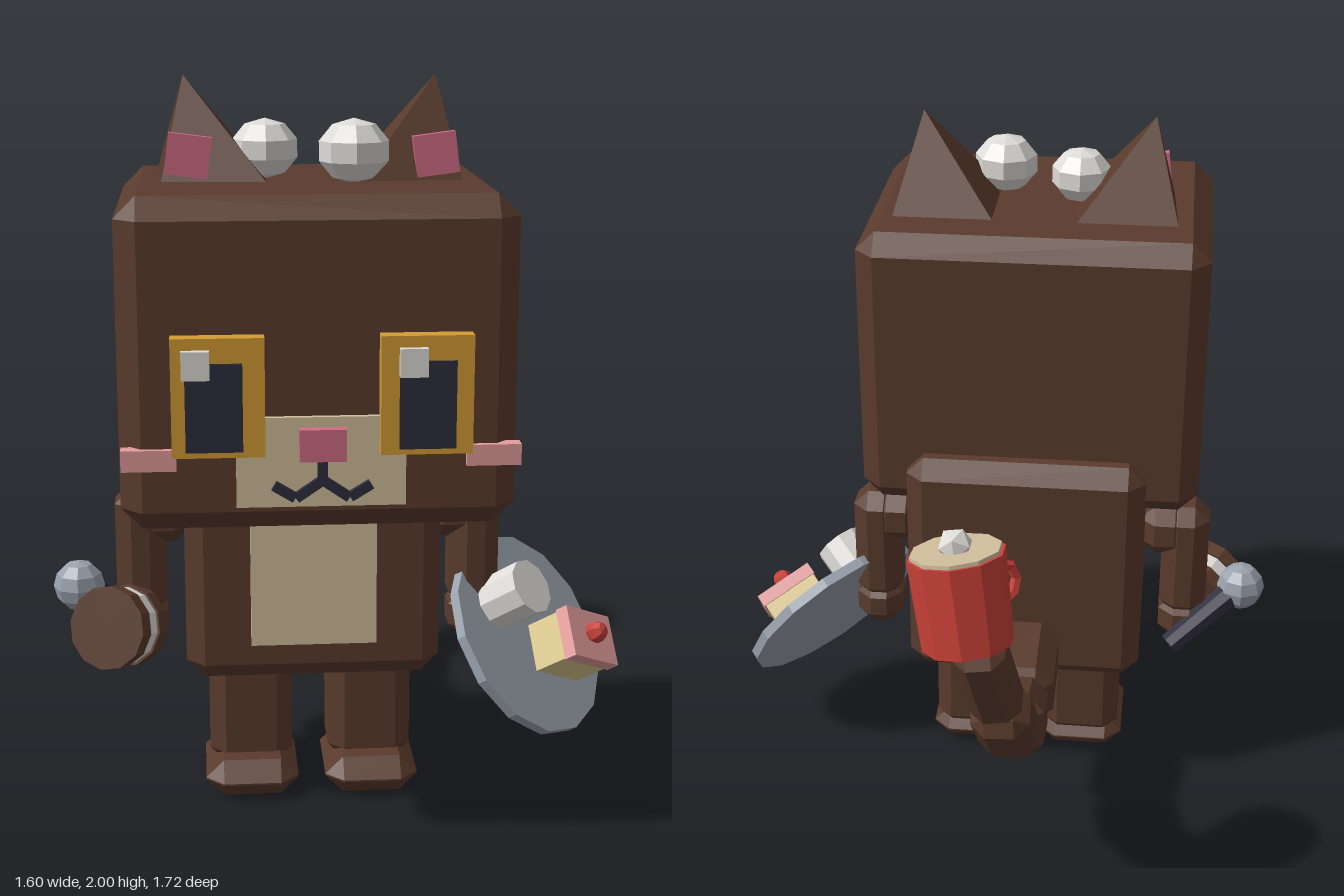
import * as THREE from 'three';
import { ConvexGeometry } from 'three/addons/geometries/ConvexGeometry.js';

const MID = -0.085; // mirror plane of the body

function mat(name, color) {
  const m = new THREE.MeshStandardMaterial({ color });
  m.name = name;
  return m;
}

const V = (x, y, z) => new THREE.Vector3(x, y, z);

// Box with all edges cut at 45 degrees
function chamferBox(w, h, d, c) {
  const pts = [];
  for (const i of [-1, 1]) for (const j of [-1, 1]) for (const k of [-1, 1]) {
    const x = w / 2, y = h / 2, z = d / 2;
    pts.push(V(i * x, j * (y - c), k * (z - c)), V(i * (x - c), j * y, k * (z - c)), V(i * (x - c), j * (y - c), k * z));
  }
  return new ConvexGeometry(pts);
}

export function createModel() {
  const model = new THREE.Group();
  model.name = 'catFigure';
  const brown = mat('brown fur', 0x5a3b2d);
  const amber = mat('amber', 0xd49c34);
  const cream = mat('cream', 0xd2bf9c);
  const rose = mat('rose', 0xcf6c84);
  const blush = mat('blush', 0xe39c9c);
  const navy = mat('navy', 0x2e2d3d);
  const white = mat('off white', 0xdedcd8);
  const grey = mat('blue grey', 0x9aa2ad);
  const red = mat('red', 0xc84038);
  const sponge = mat('sponge yellow', 0xdcc88c);

  // Adds a faceted mesh
  function add(name, geo, material, pos = V(0, 0, 0), parent = model) {
    const g = geo.index ? geo.toNonIndexed() : geo;
    g.computeVertexNormals();
    const m = new THREE.Mesh(g, material);
    m.name = name;
    m.position.copy(pos);
    parent.add(m);
    return m;
  }
  const ranges = (x0, x1, y0, y1, z0, z1) => V((x0 + x1) / 2, (y0 + y1) / 2, (z0 + z1) / 2);
  const box = (name, material, x0, x1, y0, y1, z0, z1) =>
    add(name, new THREE.BoxGeometry(x1 - x0, y1 - y0, z1 - z0), material, ranges(x0, x1, y0, y1, z0, z1));
  const block = (name, c, x0, x1, y0, y1, z0, z1) =>
    add(name, chamferBox(x1 - x0, y1 - y0, z1 - z0, c), brown, ranges(x0, x1, y0, y1, z0, z1));
  // Stands a y-aligned object on the line from a to b
  function along(obj, a, b) {
    obj.position.copy(a).lerp(b, 0.5);
    obj.quaternion.setFromUnitVectors(V(0, 1, 0), b.clone().sub(a).normalize());
    return obj;
  }

  // Head, body and belly
  block('head', 0.055, -0.58, 0.40, 0.915, 1.74, 0.005, 0.80);
  block('body', 0.05, -0.43, 0.26, 0.385, 1.09, -0.075, 0.47);
  box('belly', cream, -0.255, 0.08, 0.505, 0.94, 0.46, 0.51);

  // Muzzle, nose and mouth
  box('muzzle', cream, -0.295, 0.12, 0.985, 1.21, 0.79, 0.815);
  box('nose', rose, -0.142, -0.028, 1.105, 1.185, 0.80, 0.845);
  box('mouthLine', navy, MID - 0.012, MID + 0.012, 1.04, 1.11, 0.81, 0.83);

  for (const s of [-1, 1]) {
    const X = (x) => MID + s * x;

    // Eyes and cheeks
    const side = s > 0 ? 'left' : 'right';
    const plate = (name, material, cx, w, y0, y1, z0, z1) => box(name, material, cx - w / 2, cx + w / 2, y0, y1, z0, z1);
    plate(side + 'Eye', amber, X(0.252), 0.225, 1.12, 1.413, 0.79, 0.845);
    plate(side + 'Pupil', navy, s > 0 ? 0.168 : -0.347, 0.138, 1.135, 1.352, 0.84, 0.852);
    plate(side + 'EyeGlint', white, s > 0 ? 0.132 : -0.39, 0.068, 1.315, 1.385, 0.84, 0.865);
    plate(side + 'Cheek', blush, X(0.422), 0.135, 1.08, 1.133, 0.775, 0.815);

    // Mouth curves
    const lip = add('lip', new THREE.BoxGeometry(0.08, 0.024, 0.02), navy, V(X(0.032), 1.032, 0.82));
    lip.rotation.z = -s * 0.6;
    const corner = add('mouthCorner', new THREE.BoxGeometry(0.06, 0.024, 0.02), navy, V(X(0.093), 1.026, 0.82));
    corner.rotation.z = s * 0.55;

    // Ears
    add(side + 'Ear', new ConvexGeometry([
      V(X(0.40), 1.735, 0.18), V(X(0.115), 1.735, 0.18), V(X(0.115), 1.735, 0.49),
      V(X(0.385), 1.735, 0.46), V(X(0.325), 2.0, 0.34)]), brown);
    const inner = add(side + 'InnerEar', new THREE.BoxGeometry(0.11, 0.105, 0.025), rose, V(X(0.315), 1.805, 0.455));
    inner.rotation.z = s * 0.13;

    // Legs and feet
    const lx = X(0.168);
    block(side + 'Leg', 0.045, lx - 0.117, lx + 0.117, 0.06, 0.43, 0.08, 0.31);
    block(side + 'Foot', 0.05, lx - 0.13, lx + 0.13, 0, 0.105, 0.08, 0.41);

    // Shoulders and arms
    add(side + 'Shoulder', chamferBox(0.15, 0.16, 0.16, 0.045), brown, V(X(0.405), 0.79, 0.19));
    add(side + 'Arm', chamferBox(0.14, 0.37, 0.165, 0.045), brown, V(X(0.468), 0.685, 0.193));
    add(side + 'Paw', chamferBox(0.14, 0.15, 0.17, 0.045), brown, V(X(0.468), 0.48, 0.20));
  }

  // Pompoms on the head
  for (const [x, z, r] of [[-0.203, 0.375, 0.088], [0.02, 0.46, 0.094]])
    add('pompom', new THREE.SphereGeometry(r, 8, 5).scale(1, 0.88, 1), white, V(x, 1.815, z));

  // Tail of tapering segments
  const tail = [V(-0.09, 0.49, -0.03), V(-0.09, 0.455, -0.305), V(-0.09, 0.515, -0.52),
    V(-0.075, 0.69, -0.65), V(-0.03, 0.94, -0.735)];
  [0.205, 0.185, 0.16, 0.135].forEach((w, i) => {
    const len = tail[i].distanceTo(tail[i + 1]) + 0.025;
    along(add('tailSegment', chamferBox(w, len, w, w * 0.25), brown), tail[i], tail[i + 1]);
  });

  // Cup on the tail tip
  const cup = new THREE.Group();
  cup.name = 'cup';
  model.add(cup);
  along(cup, V(-0.005, 0.94, -0.735), V(0.03, 1.19, -0.69));
  add('cupBody', new THREE.CylinderGeometry(0.128, 0.12, 0.245, 10), red, V(0, 0, 0), cup);
  add('cupFoam', new THREE.CylinderGeometry(0.119, 0.119, 0.03, 10), cream, V(0, 0.118, 0), cup);
  add('cupTopping', new THREE.IcosahedronGeometry(0.047, 0), white, V(0, 0.145, 0), cup);
  const handle = add('cupHandle', new THREE.TorusGeometry(0.05, 0.015, 5, 8), red, V(-0.09, 0, 0.09), cup);
  handle.rotation.y = Math.PI / 4;

  // Serving plate, tilted outward
  const tray = new THREE.Group();
  tray.name = 'servingPlate';
  const up = V(0.64, 0.55, 0.53).normalize();
  const across = V(0.74, -0.41, -0.52).projectOnPlane(up).normalize();
  tray.quaternion.setFromRotationMatrix(new THREE.Matrix4().makeBasis(across, up, across.clone().cross(up)));
  tray.position.set(0.545, 0.405, 0.215);
  model.add(tray);
  add('plate', new THREE.CylinderGeometry(0.3, 0.3, 0.03, 14), grey, V(0, 0, 0), tray);
  add('marshmallow', new THREE.CylinderGeometry(0.08, 0.08, 0.135, 10), white, V(-0.13, 0.08, -0.064), tray);
  add('cakeSponge', new THREE.BoxGeometry(0.18, 0.12, 0.14), sponge, V(0.085, 0.07, 0.052), tray);
  add('cakeIcing', new THREE.BoxGeometry(0.19, 0.04, 0.15), blush, V(0.085, 0.145, 0.052), tray);
  add('cherry', new THREE.SphereGeometry(0.032, 7, 5), red, V(0.08, 0.185, 0.05), tray);

  // Sandwich biscuit in the other paw
  const biscuit = new THREE.Group();
  biscuit.name = 'biscuit';
  model.add(biscuit);
  const c = V(-0.615, 0.505, 0.335);
  along(biscuit, c, c.clone().add(V(-0.45, 0.25, 0.85)));
  biscuit.position.copy(c);
  for (const y of [-0.047, 0.047])
    add('biscuitHalf', new THREE.CylinderGeometry(0.115, 0.115, 0.045, 12), brown, V(0, y, 0), biscuit);
  add('biscuitFilling', new THREE.CylinderGeometry(0.108, 0.108, 0.05, 12), white, V(0, 0, 0), biscuit);

  // Microphone
  const head = V(-0.73, 0.58, 0.20), tip = V(-0.52, 0.43, 0.075);
  add('microphoneHead', new THREE.SphereGeometry(0.072, 8, 6), grey, head);
  along(add('microphoneHandle', new THREE.CylinderGeometry(0.042, 0.035, head.distanceTo(tip), 8), navy), tip, head);

  return model;
}
